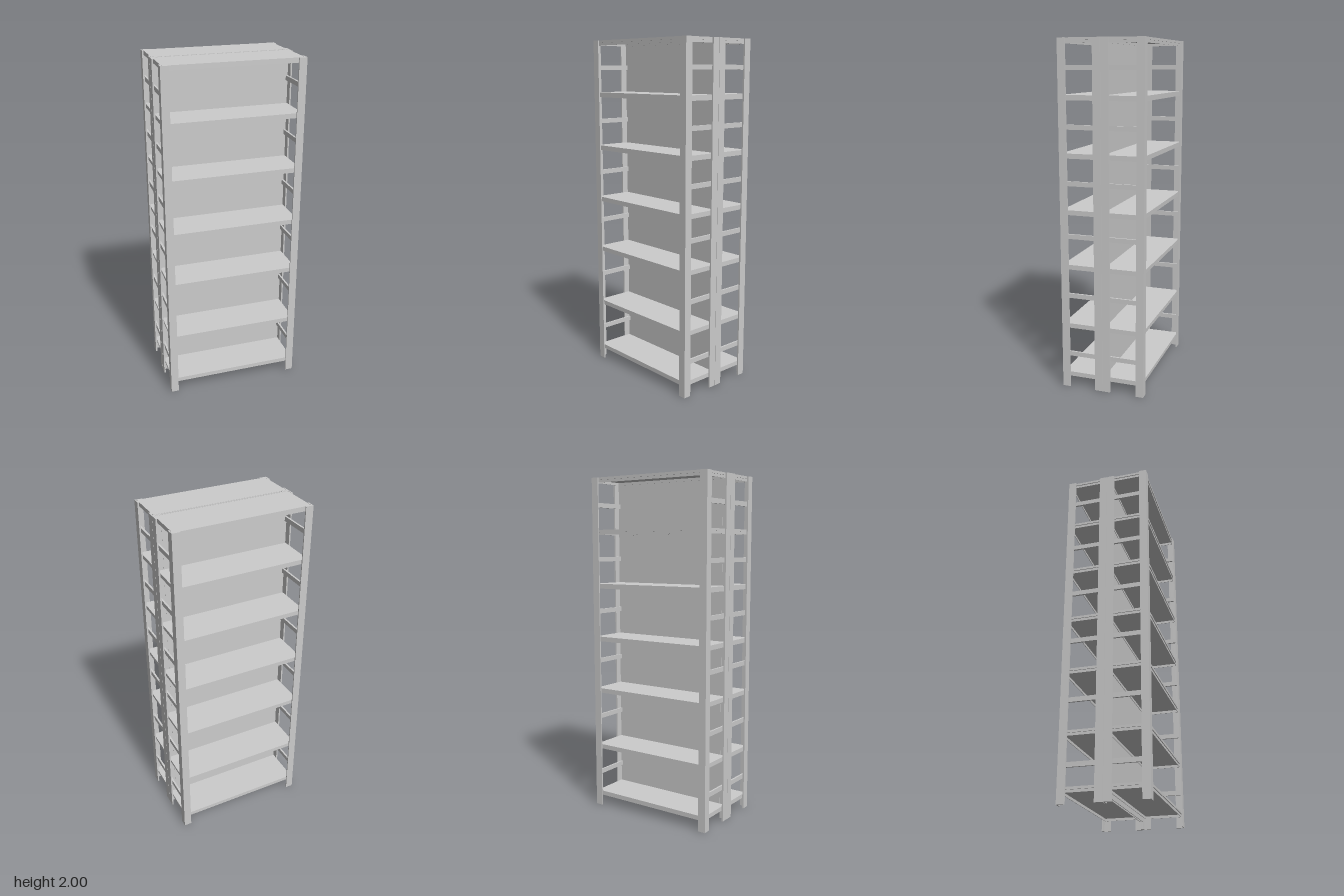
import * as THREE from 'three';

const material = new THREE.MeshStandardMaterial({ color: 0xcccccc, flatShading: true, side: THREE.DoubleSide });

const HEIGHT = 2, HALF_W = 0.4;
const Z_BACK = 0.001, Z_FRONT = 0.247;          // depth range of one bay
const SHELF_X = 0.39, SHELF_Z0 = 0.011, SHELF_Z1 = 0.24;
const SHELF_TOPS = [0.09, 0.39, 0.743, 1.061, 1.38, 1.698, 2.0];
const BRACE_TOPS = [0.218, 0.573, 0.923, 1.225, 1.538, 1.857];

// Box given by its minimum and maximum corners
function box(name, x0, x1, y0, y1, z0, z1) {
  const mesh = new THREE.Mesh(new THREE.BoxGeometry(x1 - x0, y1 - y0, z1 - z0), material);
  mesh.position.set((x0 + x1) / 2, (y0 + y1) / 2, (z0 + z1) / 2);
  mesh.name = name;
  return mesh;
}

// Plain angle post; dx, dz point towards the shelf
function post(name, x, z, dx, dz) {
  const L = 0.045, tx = 0.009, tz = 0.007;
  const profile = [[0, 0], [L, 0], [L, tz], [tx, tz], [tx, L], [0, L]];
  const shape = new THREE.Shape(profile.map(([u, v]) => new THREE.Vector2(x + u * dx, -(z + v * dz))));
  const geometry = new THREE.ExtrudeGeometry(shape, { depth: HEIGHT, bevelEnabled: false });
  geometry.rotateX(-Math.PI / 2);
  const mesh = new THREE.Mesh(geometry, material);
  mesh.name = name;
  return mesh;
}

// Shelf: a board resting on a slightly recessed rim of thin rails
function shelf(top) {
  const group = new THREE.Group();
  group.name = 'shelf';
  const y1 = top - 0.014, y0 = top - 0.029, inset = 0.005, t = 0.003;
  const x = SHELF_X - inset, z0 = SHELF_Z0 + inset, z1 = SHELF_Z1 - inset;
  group.add(
    box('shelfBoard', -SHELF_X, SHELF_X, y1, top, SHELF_Z0, SHELF_Z1),
    box('frontRail', -x, x, y0, y1, z1 - t, z1),
    box('backRail', -x, x, y0, y1, z0, z0 + t),
    box('leftRail', x - t, x, y0, y1, z0 + t, z1 - t),
    box('rightRail', -x, -x + t, y0, y1, z0 + t, z1 - t),
  );
  return group;
}

// One single-sided bay: posts, back panel, shelves and side braces
function bay(name) {
  const group = new THREE.Group();
  group.name = name;
  for (const side of [1, -1]) {
    const label = side > 0 ? 'left' : 'right';
    group.add(post(label + 'FrontPost', side * HALF_W, Z_FRONT, -side, -1));
    group.add(post(label + 'BackPost', side * HALF_W, Z_BACK, -side, 1));
    for (const top of BRACE_TOPS) {
      const a = side * 0.38, b = side * 0.391;
      group.add(box(label + 'Brace', Math.min(a, b), Math.max(a, b), top - 0.027, top, 0.008, 0.24));
    }
  }
  group.add(box('backPanel', -0.355, 0.355, 0.04, HEIGHT, 0.005, 0.009));
  for (const top of SHELF_TOPS) group.add(shelf(top));
  return group;
}

export function createModel() {
  const model = new THREE.Group();
  model.name = 'doubleSidedShelving';
  const rear = bay('rearBay');
  rear.rotation.y = Math.PI;
  model.add(bay('frontBay'), rear);
  return model;
}
